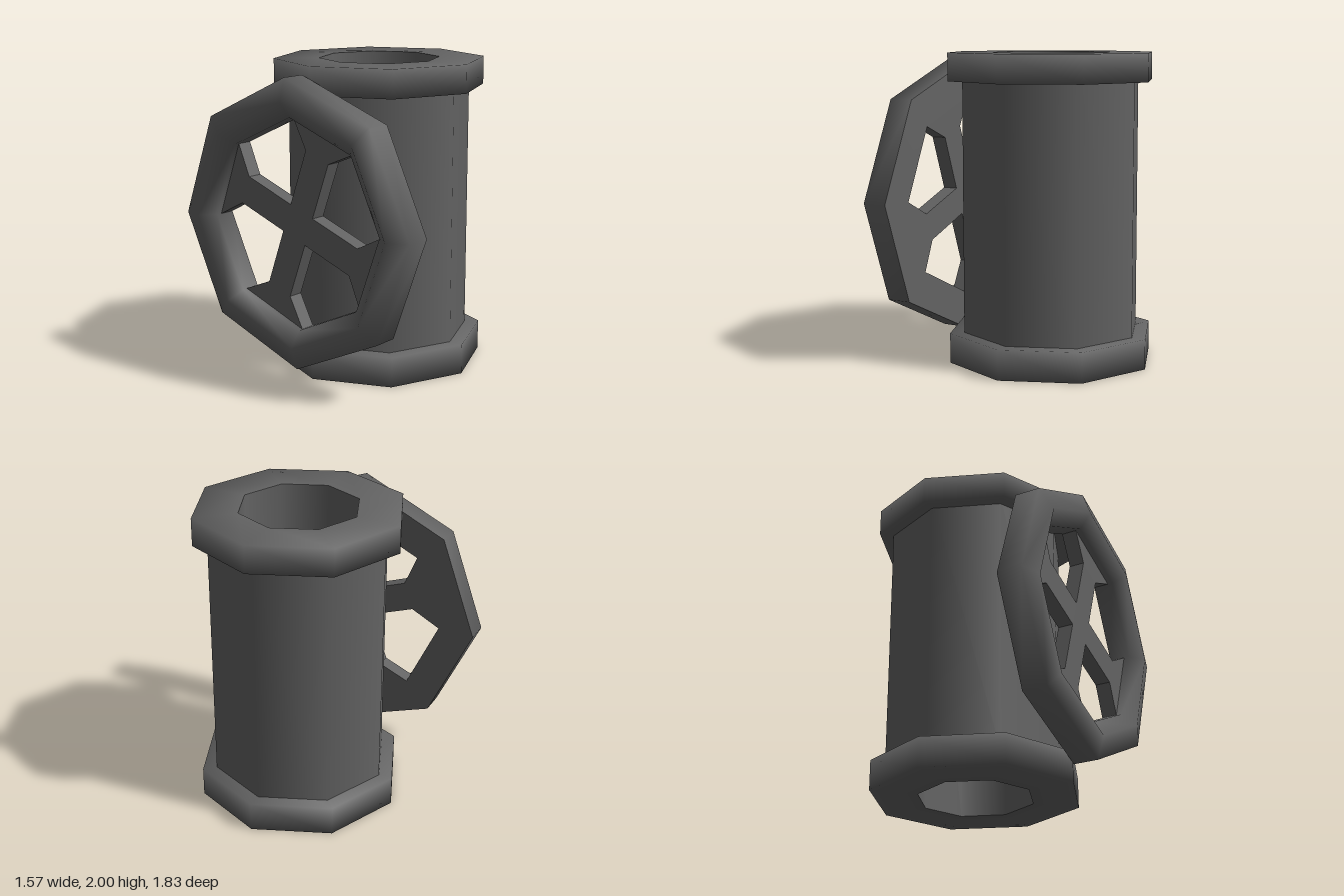
import * as THREE from 'three';

const SIDES = 8;

export function createModel() {
  const model = new THREE.Group();
  model.name = 'pipeWithValveWheel';
  const material = new THREE.MeshStandardMaterial({ color: 0x636363 });

  const add = (parent, name, geometry) => {
    const mesh = new THREE.Mesh(geometry, material);
    mesh.name = name;
    parent.add(mesh);
  };
  // Smooth octagonal surface from a profile of [radius, height] points
  const lathe = (profile) =>
    new THREE.LatheGeometry(profile.map(([r, h]) => new THREE.Vector2(r, h)), SIDES);

  // Hollow pipe section with a flange at each end
  const pipe = new THREE.Group();
  pipe.name = 'pipe';
  pipe.position.set(0.103, 0, 0.023);
  model.add(pipe);

  add(pipe, 'pipeOuterWall', lathe([[0.588, 0.1], [0.588, 1.9]]));
  add(pipe, 'pipeInnerWall', lathe([[0.39, 2], [0.376, 0]]));

  const flange = (inner, y0, y1) => lathe([[inner, y0], [0.682, y0], [0.682, y1], [inner, y1]]);
  add(pipe, 'bottomFlange', flange(0.376, 0, 0.195));
  add(pipe, 'topFlange', flange(0.39, 1.82, 2));

  // Valve wheel standing beside the pipe, slightly turned about its axis
  const wheel = new THREE.Group();
  wheel.name = 'valveWheel';
  wheel.position.y = 1.03;
  wheel.rotation.x = -0.042;
  model.add(wheel);

  // Rounded rim with a flat, sharp-edged back
  const rimFront = lathe([[0.915, 0.578], [0.915, 0.74], [0.77, 0.787], [0.67, 0.71], [0.67, 0.576]]);
  const rimBack = lathe([[0.67, 0.576], [0.915, 0.578]]);
  add(wheel, 'wheelRim', rimFront.rotateZ(Math.PI / 2));
  add(wheel, 'wheelRimBack', rimBack.rotateZ(Math.PI / 2));

  // Four spokes in one cross, each flaring out to a full side of the rim
  const arm = [[0.095, -0.095], [0.47, -0.095], [0.619, -0.256], [0.619, 0.256], [0.47, 0.095]];
  const outline = [];
  for (let i = 0; i < 4; i++) {
    const turn = -Math.PI / 8 + (i * Math.PI) / 2;
    for (const [u, v] of arm) {
      outline.push(new THREE.Vector2(u, v).rotateAround(new THREE.Vector2(), turn));
    }
  }
  const spokes = new THREE.ExtrudeGeometry(new THREE.Shape(outline), { depth: 0.1, bevelEnabled: false });
  spokes.rotateY(-Math.PI / 2);
  spokes.translate(-0.576, 0, 0);
  add(wheel, 'wheelSpokes', spokes);

  return model;
}
